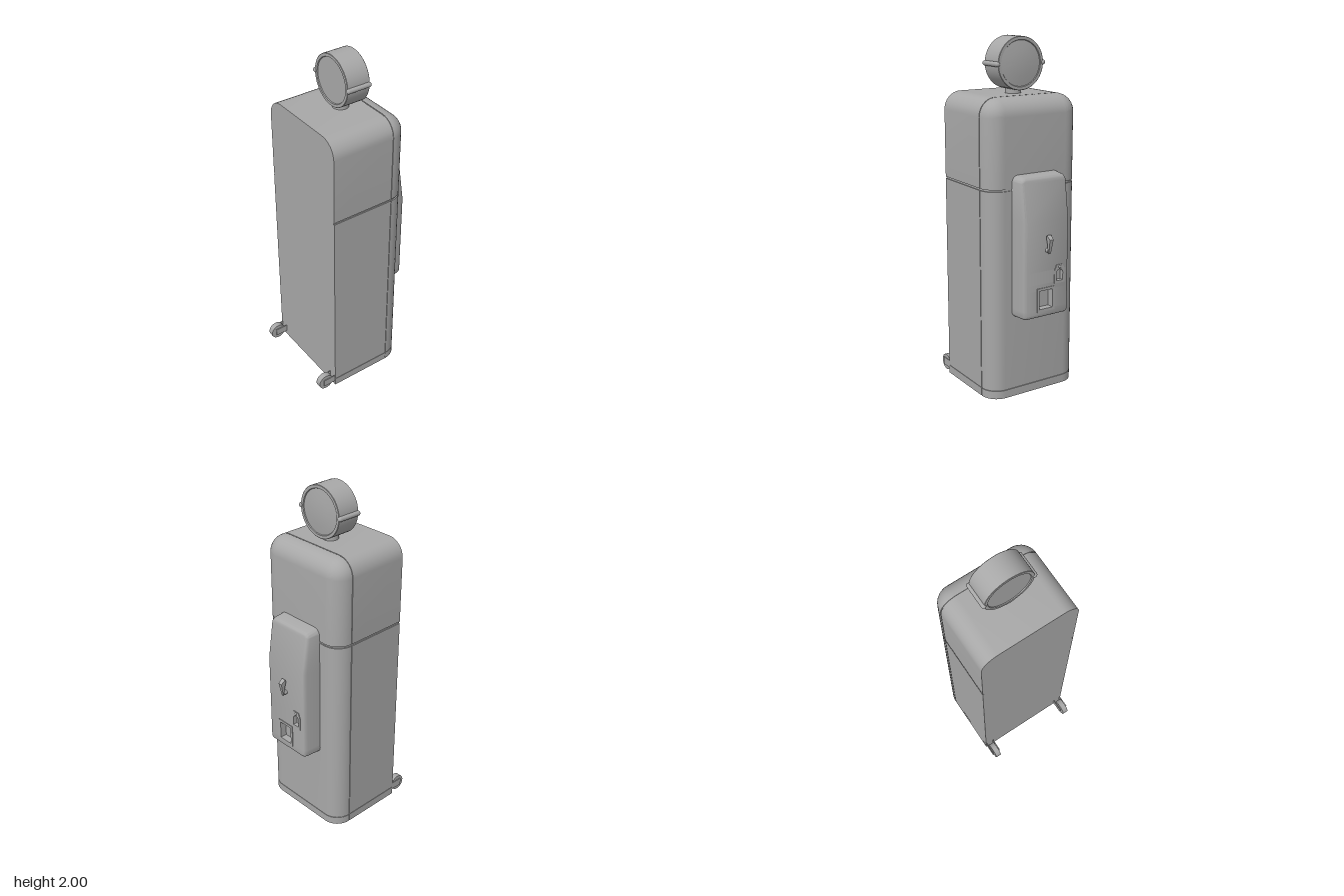
import * as THREE from 'three';
import { toCreasedNormals } from 'three/addons/utils/BufferGeometryUtils.js';

const grey = new THREE.MeshStandardMaterial({ color: 0xa8a8a8 });
grey.name = 'plain grey';

function add(parent, name, geometry, x = 0, y = 0, z = 0) {
  const mesh = new THREE.Mesh(geometry, grey);
  mesh.name = name;
  mesh.position.set(x, y, z);
  parent.add(mesh);
  return mesh;
}

// Outline in z and y, from bottom +z over the top to bottom -z, with rounded corners
function outline(hw, y0, y1, rTop, rBottom, rows = []) {
  const side = [];
  const arc = (r, cy, from) => {
    if (r <= 0) { side.push([hw, cy]); return; }
    for (let i = 0; i <= 8; i++) {
      const a = from + (i / 8) * Math.PI / 2;
      side.push([hw - r + r * Math.cos(a), cy + r * Math.sin(a)]);
    }
  };
  arc(rBottom, y0 + rBottom, -Math.PI / 2);
  rows.forEach((y) => side.push([hw, y]));
  arc(rTop, y1 - rTop, 0);
  return [...side, ...side.slice().reverse().map(([z, y]) => [-z, y])];
}

// Skin along x through loops of [x, y, z]; caps are ladders that may leave rectangular openings
function loft(loops, holes = []) {
  const pos = [];
  const quad = (a, b, c, d) => pos.push(...a, ...b, ...c, ...a, ...c, ...d);
  const n = loops[0].length;
  for (let s = 0; s < loops.length - 1; s++) {
    const p = loops[s], q = loops[s + 1];
    for (let i = 0; i < n; i++) {
      const j = (i + 1) % n;
      quad(p[i], q[i], q[j], p[j]);
    }
  }
  const back = loops[0], front = loops[loops.length - 1];
  for (let i = 0; i < n / 2 - 1; i++) {
    const l = i, l2 = i + 1, r = n - 1 - i, r2 = n - 2 - i;
    quad(back[l], back[l2], back[r2], back[r]);
    const mid = (front[l][1] + front[l2][1]) / 2;
    const hole = holes.find((h) => mid > h.y0 && mid < h.y1);
    if (hole) {
      const at = (p, z) => [p[0], p[1], z];
      quad(front[l], at(front[l], hole.z1), at(front[l2], hole.z1), front[l2]);
      quad(at(front[r], hole.z0), front[r], front[r2], at(front[r2], hole.z0));
    } else {
      quad(front[l], front[r], front[r2], front[l2]);
    }
  }
  const g = new THREE.BufferGeometry();
  g.setAttribute('position', new THREE.Float32BufferAttribute(pos, 3));
  return toCreasedNormals(g, 0.55);
}

// Cabinet block: square at the back, rounded toward the front, optional rounded top
function cabinetBlock(y0, y1, rounded, shrink = 0) {
  const R = 0.098, loops = [];
  const ring = (x, d) => {
    const top = rounded ? y1 - d : y1;
    const pts = outline(0.294 - shrink - d, y0, top, rounded ? R + 0.002 - d : 0, 0);
    loops.push(pts.map(([z, y]) => [x, y, z]));
  };
  const seam = 0.112, front = 0.212 - shrink;
  ring(-0.265, 0);
  if (!shrink) {
    // narrow vertical seam between the shell and the front door
    ring(seam - 0.005, 0);
    ring(seam - 0.005, 0.004);
    ring(seam, 0.004);
    ring(seam, 0);
  }
  for (let i = 0; i <= 8; i++) {
    const a = (i / 8) * Math.PI / 2;
    ring(front - R + R * Math.sin(a), R * (1 - Math.cos(a)));
  }
  return loft(loops);
}

// Plate with an opening, drawn in (-z, y) and extruded toward +x
function framePlate(outer, inner, x0, x1) {
  const toPoints = (list) => list.map(([u, v]) => new THREE.Vector2(u, v));
  const shape = new THREE.Shape(toPoints(outer));
  shape.holes.push(new THREE.Path(toPoints(inner)));
  const g = new THREE.ExtrudeGeometry(shape, { depth: x1 - x0, bevelEnabled: false });
  return g.rotateY(Math.PI / 2).translate(x0, 0, 0);
}

const rect = (w, y0, y1) => [[-w, y0], [w, y0], [w, y1], [-w, y1]];

export function createModel() {
  const model = new THREE.Group();
  model.name = 'fuelPump';

  // Cabinet, with shallow grooves showing the recessed core
  const cabinet = new THREE.Group();
  cabinet.name = 'cabinet';
  model.add(cabinet);
  add(cabinet, 'plinth', cabinetBlock(0, 0.047, false));
  add(cabinet, 'lowerCabinet', cabinetBlock(0.05, 1.197, false));
  add(cabinet, 'upperCabinet', cabinetBlock(1.208, 1.69, true));
  add(cabinet, 'grooveCore', cabinetBlock(0.01, 1.25, false, 0.006));

  // Front housing with a sloping upper face
  const housing = new THREE.Group();
  housing.name = 'frontHousing';
  model.add(housing);
  const slot = { y0: 0.535, y1: 0.645, z0: -0.042, z1: 0.06 };
  const niche = { y0: 0.68, y1: 0.752, z0: -0.109, z1: -0.057 };
  const rows = [slot.y0, slot.y1, niche.y0, niche.y1, 1.035];
  const depth = (y) => 0.115 - Math.max(0, y - 1.035) * 0.15;
  const loops = [[0, 0], [0.78, 0.006], [0.9, 0.01], [0.97, 0.016], [1, 0.024]].map(([t, d]) =>
    outline(0.155 - d, 0.478 + d, 1.28 - d, 0.04 - d, 0.032 - d, rows)
      .map(([z, y]) => [0.21 + depth(y) * t, y, z]));
  add(housing, 'housingShell', loft(loops, [slot, niche]));

  // Square tray opening
  add(housing, 'trayFrame',
    framePlate(rect(0.057, 0.522, 0.658), rect(0.043, 0.537, 0.643), 0.28, 0.329), 0, 0, 0.008);
  add(housing, 'trayBack', new THREE.BoxGeometry(0.01, 0.13, 0.108), 0.284, 0.59, 0.008);

  // Arched niche with a small button
  const archTop = [];
  for (let i = 0; i <= 8; i++) {
    const a = (i / 8) * Math.PI;
    archTop.push([0.021 * Math.cos(a), 0.728 + 0.021 * Math.sin(a)]);
  }
  add(housing, 'nicheFrame', framePlate(
    [[-0.034, 0.67], [0.034, 0.67], [0.034, 0.745], [0.02, 0.776], [-0.02, 0.776], [-0.034, 0.745]],
    [[-0.021, 0.684], [0.021, 0.684], ...archTop], 0.295, 0.329), 0, 0, -0.083);
  add(housing, 'nicheBack', new THREE.BoxGeometry(0.01, 0.09, 0.06), 0.299, 0.718, -0.083);
  add(housing, 'nicheButton', new THREE.SphereGeometry(0.009, 12, 8), 0.326, 0.763, -0.083);

  // Lever on a short hub
  const hub = new THREE.CylinderGeometry(0.013, 0.013, 0.024, 20).rotateZ(Math.PI / 2);
  add(housing, 'leverHub', hub, 0.334, 0.87, 0);
  const leverShape = new THREE.Shape([[0.337, 0.862], [0.35, 0.855], [0.367, 0.937], [0.34, 0.958],
    [0.333, 0.945], [0.341, 0.9]].map(([x, y]) => new THREE.Vector2(x, y)));
  const lever = new THREE.ExtrudeGeometry(leverShape, { depth: 0.02, bevelEnabled: false }).translate(0, 0, -0.01);
  const lp = lever.attributes.position;
  for (let i = 0; i < lp.count; i++) {
    // wider toward the grip
    lp.setZ(i, lp.getZ(i) * (0.6 + Math.max(0, lp.getY(i) - 0.87) * 9));
  }
  lever.computeVertexNormals();
  add(housing, 'lever', lever);

  // Round globe on a neck
  const globe = new THREE.Group();
  globe.name = 'globe';
  globe.position.y = 1.855;
  model.add(globe);
  const profile = [[0, -0.07], [0.124, -0.07], [0.127, -0.075], [0.143, -0.075], [0.145, -0.073],
    [0.145, 0.063], [0.143, 0.065], [0.127, 0.065], [0.124, 0.06], [0.07, 0.067], [0, 0.07]]
    .map(([r, y]) => new THREE.Vector2(r, y));
  const drum = new THREE.LatheGeometry(profile, 56).rotateZ(-Math.PI / 2);
  add(globe, 'globeDrum', toCreasedNormals(drum, 0.4));
  add(globe, 'globeNeck', new THREE.CylinderGeometry(0.045, 0.045, 0.07, 32), -0.014, -0.148, 0);
  for (const s of [1, -1]) {
    const bar = new THREE.CapsuleGeometry(0.014, 0.126, 6, 16).rotateZ(Math.PI / 2);
    add(globe, s > 0 ? 'leftTrimBar' : 'rightTrimBar', bar, -0.005, 0, s * 0.146);
  }

  // Rear casters with a pair of bracket plates each
  for (const s of [1, -1]) {
    const caster = new THREE.Group();
    caster.name = s > 0 ? 'leftCaster' : 'rightCaster';
    caster.position.set(-0.322, 0.047, s * 0.265);
    model.add(caster);
    add(caster, 'wheel', new THREE.CylinderGeometry(0.047, 0.047, 0.034, 32).rotateX(Math.PI / 2));
    add(caster, 'axle', new THREE.CylinderGeometry(0.008, 0.008, 0.05, 12).rotateX(Math.PI / 2));
    for (const k of [1, -1]) {
      add(caster, 'bracketPlate', new THREE.BoxGeometry(0.078, 0.045, 0.005), 0.02, 0.004, k * 0.023);
    }
  }
  return model;
}
